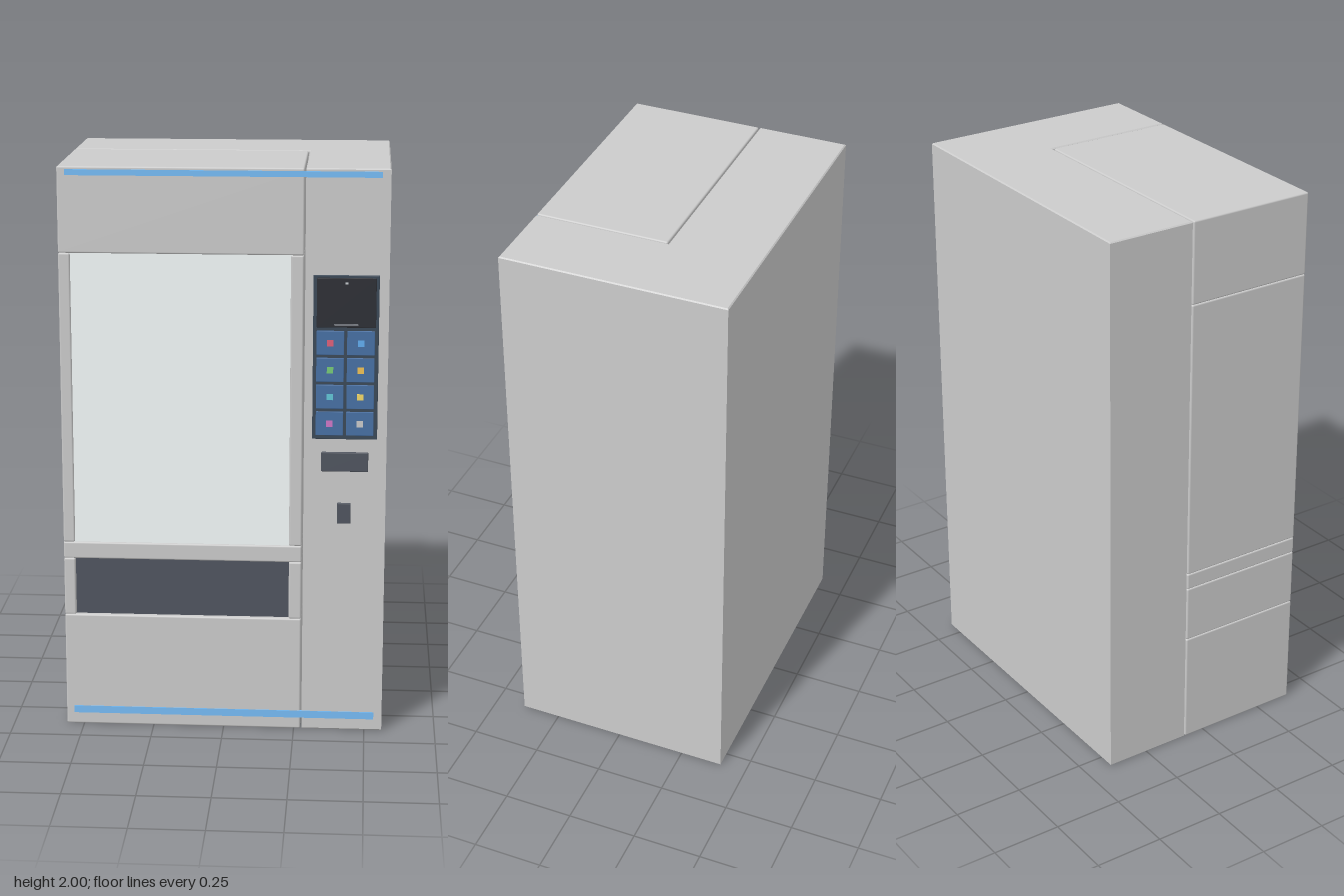
import * as THREE from 'three';
import { RoundedBoxGeometry } from 'three/addons/geometries/RoundedBoxGeometry.js';

const material = (color) => new THREE.MeshStandardMaterial({ color });
const grey = material(0xcccccc);
const glass = material(0xf4fafa);
const dark = material(0x50555f);
const black = material(0x2d2f35);
const frame = material(0x3b4958);
const buttonBlue = material(0x4770a4);
const lightBlue = material(0x76bcf6);

export function createModel() {
  const model = new THREE.Group();
  model.name = 'vendingMachine';
  const L = -0.562, R = 0.562, BACK = -0.405, FRONT = 0.39;
  const SEAM_X = 0.273, SEAM_Z = -0.08;

  // Box given by its limits; a radius softens its edges
  function box(name, mat, [x0, x1], [y0, y1], [z0, z1], radius = 0, parent = model) {
    const w = x1 - x0, h = y1 - y0, d = z1 - z0;
    const geometry = radius
      ? new RoundedBoxGeometry(w, h, d, 2, radius)
      : new THREE.BoxGeometry(w, h, d);
    const mesh = new THREE.Mesh(geometry, mat);
    mesh.name = name;
    mesh.position.set((x0 + x1) / 2, (y0 + y1) / 2, (z0 + z1) / 2);
    parent.add(mesh);
    return mesh;
  }

  // L-shaped body: back cabinet and control column in one piece
  const b = 0.004, innerX = SEAM_X + 0.005, innerZ = SEAM_Z - 0.005;
  const plan = new THREE.Shape([
    [L, -BACK], [L, -innerZ], [innerX, -innerZ],
    [innerX, -FRONT], [R, -FRONT], [R, -BACK],
  ].map(([x, y]) => new THREE.Vector2(x, y)));
  const bodyGeometry = new THREE.ExtrudeGeometry(plan, {
    depth: 2 - 2 * b, bevelThickness: b, bevelSize: b, bevelOffset: -b, bevelSegments: 1,
  });
  bodyGeometry.rotateX(-Math.PI / 2).translate(0, b, 0);
  const body = new THREE.Mesh(bodyGeometry, grey);
  body.name = 'body';
  model.add(body);

  // Front cabinet: stacked blocks with side walls around the two openings
  const depth = [SEAM_Z, FRONT];
  const leftWall = [L, -0.522], rightWall = [0.229, SEAM_X];
  const windowY = [0.68, 1.705], hatchY = [0.412, 0.62];
  box('topBlock', grey, [L, SEAM_X], [1.705, 2], depth, 0.006);
  box('middleRail', grey, [L, SEAM_X], [0.62, 0.68], depth, 0.006);
  box('bottomBlock', grey, [L, SEAM_X], [0, 0.412], depth, 0.006);
  for (const [name, ys] of [['window', windowY], ['hatch', hatchY]]) {
    box(name + 'WallLeftOfView', grey, leftWall, ys, depth, 0.006);
    box(name + 'WallRightOfView', grey, rightWall, ys, depth, 0.006);
  }

  // Display window and delivery flap, slightly recessed
  box('displayGlass', glass, [-0.526, 0.233], [0.676, 1.709], [0.36, 0.382]);
  box('deliveryFlap', dark, [-0.526, 0.233], [0.408, 0.624], [0.35, 0.372]);

  // Light strips
  box('topLightStrip', lightBlue, [-0.535, 0.533], [1.97, 1.99], [0.385, 0.393]);
  box('bottomLightStrip', lightBlue, [-0.535, 0.533], [0.042, 0.068], [0.385, 0.393]);

  // Control panel with its screen
  const panel = new THREE.Group();
  panel.name = 'controlPanel';
  model.add(panel);
  box('panelFrame', frame, [0.306, 0.529], [1.07, 1.64], [0.385, 0.397], 0.002, panel);
  box('screen', black, [0.318, 0.519], [1.462, 1.632], [0.39, 0.404], 0.002, panel);
  box('screenBar', material(0x777b82), [0.376, 0.46], [1.469, 1.475], [0.4, 0.405], 0, panel);
  box('screenSensor', material(0xc8ccd0), [0.413, 0.423], [1.611, 1.617], [0.4, 0.405], 0, panel);

  // Product buttons, each with a coloured marker
  const markers = [0xe0607a, 0x62aef0, 0x78cc78, 0xf2c355, 0x62c8d8, 0xf4d968, 0xd078c8, 0xf0f0f0];
  markers.forEach((color, i) => {
    const x = 0.365 + 0.104 * (i % 2), y = 1.408 - 0.094 * Math.floor(i / 2);
    box('productButton', buttonBlue, [x - 0.047, x + 0.047], [y - 0.042, y + 0.042],
      [0.39, 0.401], 0.002, panel);
    box('buttonMarker', material(color), [x - 0.011, x + 0.011], [y - 0.011, y + 0.011],
      [0.395, 0.403], 0, panel);
  });

  // Payment fittings
  box('cardReader', dark, [0.338, 0.5], [0.955, 1.023], [0.385, 0.4], 0.003);
  box('coinSlot', dark, [0.395, 0.442], [0.768, 0.841], [0.385, 0.4], 0.003);

  return model;
}
